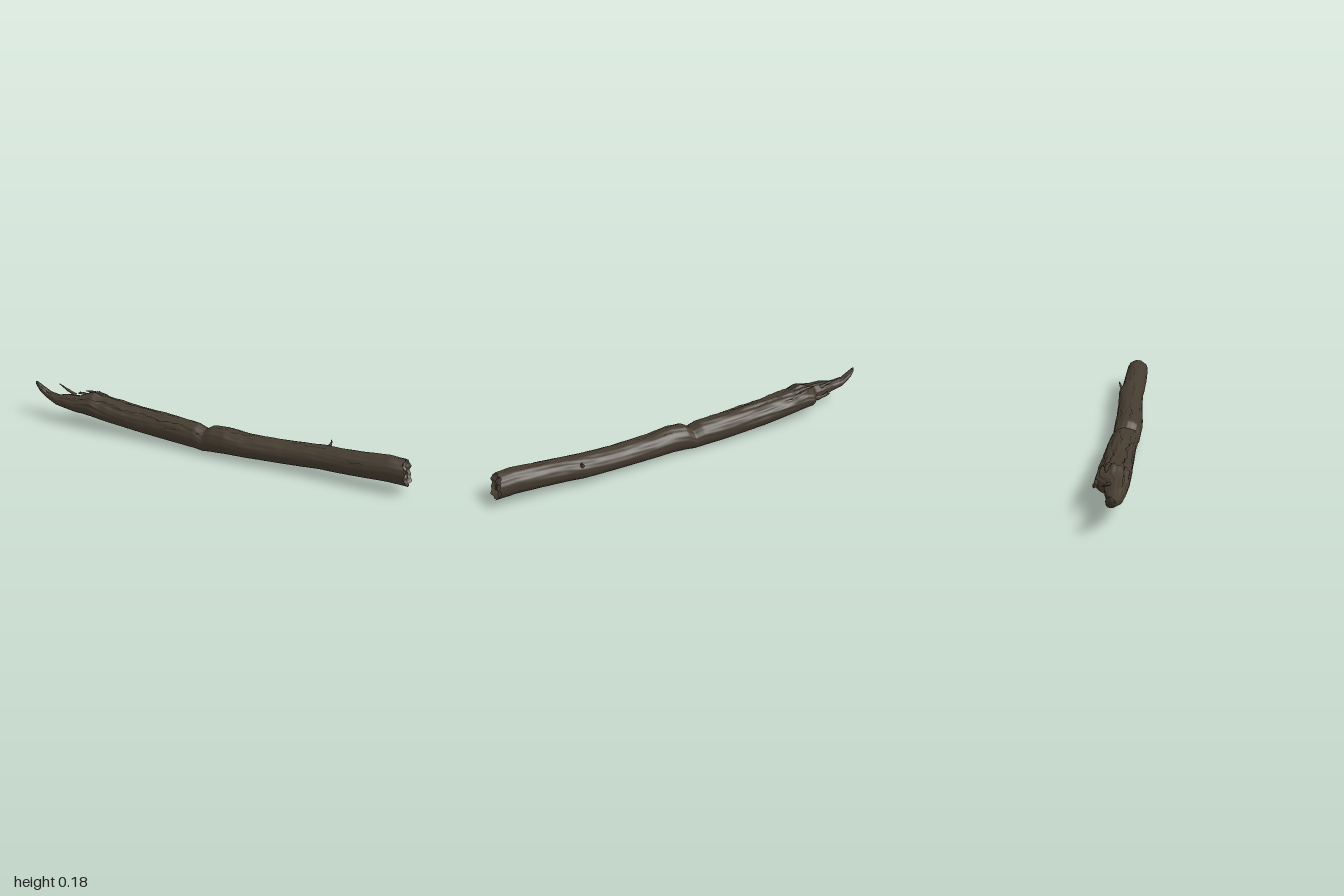
import * as THREE from 'three';

const bark = new THREE.MeshStandardMaterial({ name: 'dark bark', color: 0x453c30 });
const wood = new THREE.MeshStandardMaterial({ name: 'broken wood', color: 0x4a4136 });
const crackMat = new THREE.MeshStandardMaterial({ name: 'deep crack', color: 0x1c1814, side: THREE.DoubleSide });

// Log outline: x, bottom y, top y, back z, front z
const STATIONS = [
  [-1.0, 0.172, 0.19, -0.008, 0.006], [-0.97, 0.135, 0.17, -0.018, 0.016], [-0.92, 0.1, 0.14, -0.022, 0.022],
  [-0.86, 0.084, 0.135, -0.022, 0.045], [-0.8, 0.074, 0.148, -0.035, 0.054], [-0.735, 0.065, 0.15, -0.04, 0.06],
  [-0.7, 0.06, 0.163, -0.084, 0.064], [-0.65, 0.053, 0.178, -0.084, 0.066], [-0.59, 0.045, 0.162, -0.082, 0.066],
  [-0.4, 0.025, 0.145, -0.078, 0.066], [-0.2, 0.01, 0.137, -0.068, 0.067], [-0.06, 0.004, 0.127, -0.058, 0.073],
  [-0.015, 0.002, 0.108, -0.053, 0.077], [0.025, 0.006, 0.135, -0.052, 0.081], [0.1, 0.012, 0.14, -0.051, 0.085],
  [0.2, 0.014, 0.127, -0.052, 0.083], [0.4, 0.02, 0.13, -0.053, 0.072], [0.58, 0.03, 0.141, -0.061, 0.07],
  [0.66, 0.033, 0.146, -0.047, 0.075], [0.8, 0.04, 0.156, -0.041, 0.08], [0.9, 0.044, 0.166, -0.036, 0.081],
  [0.97, 0.04, 0.163, -0.034, 0.08],
];

function outline(x) {
  let i = 0;
  while (i < STATIONS.length - 2 && x > STATIONS[i + 1][0]) i++;
  const p = STATIONS[i], q = STATIONS[i + 1];
  const t = THREE.MathUtils.clamp((x - p[0]) / (q[0] - p[0]), 0, 1);
  return p.map((v, k) => v + (q[k] - v) * t);
}

// Point on the log at length x and angle a (0 = front, PI/2 = top)
function logPoint(x, a, grow = 1) {
  const [, y0, y1, z0, z1] = outline(x);
  const s = Math.sin(a), c = Math.cos(a);
  const up = THREE.MathUtils.smoothstep(s, -0.3, 0.8);
  const worn = THREE.MathUtils.smoothstep(-x, 0, 0.6);
  const grain = Math.sin(a * 9 + 3 * Math.sin(x * 5)) * Math.sin(x * 13 + a * 2)
    + 0.7 * Math.sin(a * 17 + x * 7 + 2 * Math.sin(x * 11)) + 0.6 * Math.sin(x * 47 + a * 5) * Math.sin(x * 29 - a * 3);
  const r = grow * (1 + grain * (0.006 + up * (0.014 + 0.03 * worn)));
  // ragged lip at the right end, lowest side longest
  const end = THREE.MathUtils.smoothstep(x, 0.88, 0.97);
  const lip = end * (0.014 - 0.014 * s + 0.004 * Math.sin(a * 5) + 0.003 * Math.sin(a * 11));
  return new THREE.Vector3(x + lip,
    Math.max(0, (y0 + y1) / 2 + (y1 - y0) / 2 * r * s),
    (z0 + z1) / 2 + (z1 - z0) / 2 * r * c);
}

// Smooth skin over rings of points, closed around v
function skin(nu, nv, fn) {
  const pos = [], idx = [];
  for (let i = 0; i <= nu; i++)
    for (let j = 0; j < nv; j++) pos.push(...fn(i / nu, (j / nv) * Math.PI * 2).toArray());
  for (let i = 0; i < nu; i++)
    for (let j = 0; j < nv; j++) {
      const a = i * nv + j, b = i * nv + (j + 1) % nv;
      idx.push(a, a + nv, b, b, a + nv, b + nv);
    }
  const g = new THREE.BufferGeometry();
  g.setAttribute('position', new THREE.Float32BufferAttribute(pos, 3));
  g.setIndex(idx);
  g.computeVertexNormals();
  return g;
}

// Tapered sliver of wood along a path
function splinter(points, radius, flat = 1) {
  const curve = new THREE.CatmullRomCurve3(points.map(p => new THREE.Vector3(...p)));
  const n = 14, frames = curve.computeFrenetFrames(n);
  return skin(n, 8, (u, a) => {
    const i = Math.round(u * n);
    const r = radius * (1 - 0.8 * u) * (1 + 0.15 * Math.sin(u * 19)) * (u === 1 ? 0.1 : 1);
    return curve.getPointAt(u)
      .addScaledVector(frames.normals[i], Math.cos(a) * r)
      .addScaledVector(frames.binormals[i], -Math.sin(a) * r * flat);
  });
}

// Thin dark crack lying on the bark
function crack(x0, x1, a0, a1, width) {
  const pos = [], idx = [], n = 40;
  for (let i = 0; i <= n; i++) {
    const t = i / n, x = x0 + (x1 - x0) * t;
    const a = a0 + (a1 - a0) * t + 0.09 * Math.sin(x * 31) + 0.05 * Math.sin(x * 83);
    const w = width * Math.sin(Math.PI * t) * (0.7 + 0.3 * Math.sin(x * 140));
    pos.push(...logPoint(x, a - w, 1.015).toArray(), ...logPoint(x, a + w, 1.015).toArray());
    if (i < n) idx.push(2 * i, 2 * i + 2, 2 * i + 1, 2 * i + 1, 2 * i + 2, 2 * i + 3);
  }
  const g = new THREE.BufferGeometry();
  g.setAttribute('position', new THREE.Float32BufferAttribute(pos, 3));
  g.setIndex(idx);
  g.computeVertexNormals();
  return g;
}

export function createModel() {
  const group = new THREE.Group();
  group.name = 'fallenLog';
  const add = (name, geometry, material) => {
    const m = new THREE.Mesh(geometry, material);
    m.name = name;
    group.add(m);
  };

  // Trunk, closing to a point at the left tip
  add('trunk', skin(260, 64, (u, a) => u === 0
    ? new THREE.Vector3(-1, 0.183, 0)
    : logPoint(-1 + 1.97 * u, a)), bark);

  // Rough hollowed face on the right end
  add('brokenEnd', skin(10, 64, (u, a) => {
    const p = logPoint(0.97, a), k = 1 - u;
    const c = new THREE.Vector3(0.978, 0.1, 0.023);
    const out = c.lerp(p, k);
    out.x += -0.014 * Math.sin(Math.PI * Math.min(1, u * 1.4)) + 0.005 * k * u * 4 * Math.sin(a * 4 + u * 9);
    return out;
  }), wood);

  // Splinters at the torn left end
  add('backProng', splinter([[-0.67, 0.115, -0.066], [-0.73, 0.122, -0.079], [-0.79, 0.13, -0.082]], 0.019, 0.6), bark);
  add('backProngHook', splinter([[-0.755, 0.126, -0.08], [-0.775, 0.13, -0.07], [-0.785, 0.132, -0.06]], 0.009), bark);
  add('thinSliver', splinter([[-0.77, 0.14, -0.018], [-0.83, 0.16, -0.028], [-0.885, 0.178, -0.04]], 0.012, 0.6), bark);
  add('tipSliver', splinter([[-0.89, 0.115, 0.005], [-0.94, 0.135, 0.014], [-0.975, 0.155, 0.014]], 0.014), bark);
  add('topFlake', splinter([[-0.6, 0.155, -0.03], [-0.66, 0.168, -0.035], [-0.72, 0.168, -0.035]], 0.016, 0.7), bark);

  // Small twig stub on the back
  add('twigStub', splinter([[0.59, 0.115, -0.045], [0.6, 0.135, -0.056], [0.598, 0.15, -0.062]], 0.009), bark);

  // Cracks: start x, end x, start angle, end angle, half width in radians
  [
    [-0.86, -0.45, 0.9, 1.0, 0.05], [-0.55, -0.02, 1.0, 0.85, 0.045], [-0.7, -0.35, 1.7, 1.9, 0.05],
    [-0.68, -0.5, 2.3, 2.2, 0.05], [-0.35, -0.1, 1.5, 1.7, 0.03], [-0.06, 0.0, 0.5, 1.5, 0.06],
    [0.0, 0.32, 1.35, 1.5, 0.04], [0.05, 0.3, 2.1, 2.3, 0.03], [0.4, 0.62, 1.3, 1.4, 0.03],
    [0.65, 0.88, 1.8, 1.7, 0.03], [-0.25, -0.12, 0.35, 0.45, 0.03], [0.7, 0.8, 0.6, 0.5, 0.03],
  ].forEach((c, i) => add('crack' + (i + 1), crack(...c), crackMat));

  return group;
}
